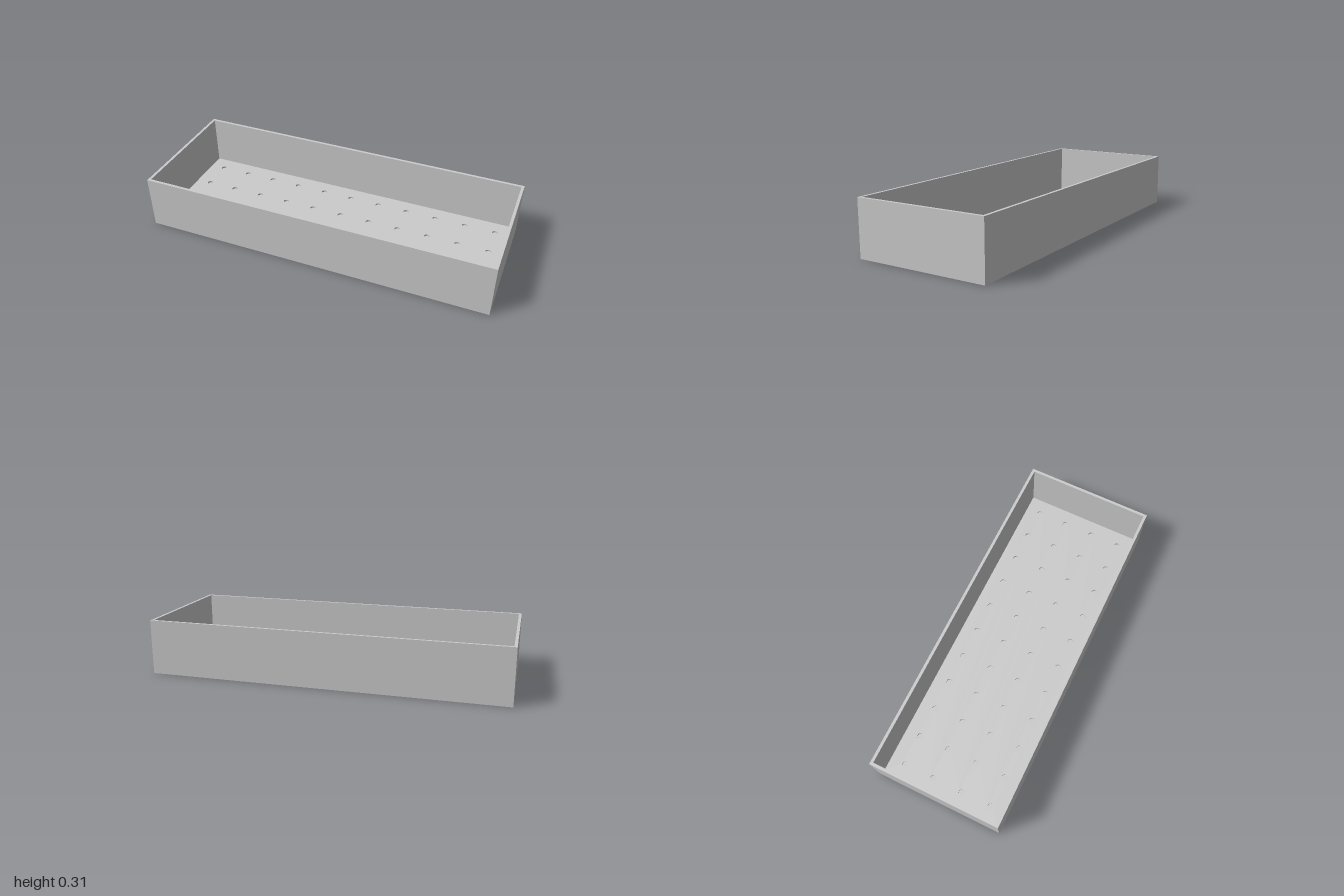
import * as THREE from 'three';

const LENGTH = 2, DEPTH = 0.748, HEIGHT = 0.31, WALL = 0.016;
const BASE = 0.008, FLOOR = 0.018; // top heights of the base plate and the dimpled floor
const COLS = 11, ROWS = 4, PITCH = 0.179, HOLE_R = 0.017;

const rectangle = (PathType, w, d) => new PathType([
  new THREE.Vector2(-w / 2, -d / 2), new THREE.Vector2(w / 2, -d / 2),
  new THREE.Vector2(w / 2, d / 2), new THREE.Vector2(-w / 2, d / 2),
]);

// Extrudes a plan-view outline upwards from y0 to y1
function slab(shape, y0, y1) {
  const geometry = new THREE.ExtrudeGeometry(shape, { depth: y1 - y0, bevelEnabled: false, curveSegments: 16 });
  return geometry.rotateX(-Math.PI / 2).translate(0, y0, 0);
}

export function createModel() {
  const group = new THREE.Group();
  group.name = 'tray';
  const material = new THREE.MeshStandardMaterial({ color: 0xcccccc });
  const add = (name, geometry) => {
    const mesh = new THREE.Mesh(geometry, material);
    mesh.name = name;
    group.add(mesh);
  };
  const innerL = LENGTH - 2 * WALL, innerD = DEPTH - 2 * WALL;

  // Four thin walls as one open frame
  const frame = rectangle(THREE.Shape, LENGTH, DEPTH);
  frame.holes.push(rectangle(THREE.Path, innerL, innerD));
  add('walls', slab(frame, 0, HEIGHT));

  // Closed underside
  add('base', slab(rectangle(THREE.Shape, innerL, innerD), 0, BASE));

  // Floor with a regular grid of small round recesses
  const floor = rectangle(THREE.Shape, innerL, innerD);
  for (let i = 0; i < COLS; i++) {
    for (let j = 0; j < ROWS; j++) {
      const x = (i - (COLS - 1) / 2) * PITCH, z = (j - (ROWS - 1) / 2) * PITCH;
      floor.holes.push(new THREE.Path().absarc(x, z, HOLE_R, 0, Math.PI * 2, true));
    }
  }
  add('floor', slab(floor, BASE, FLOOR));

  return group;
}
